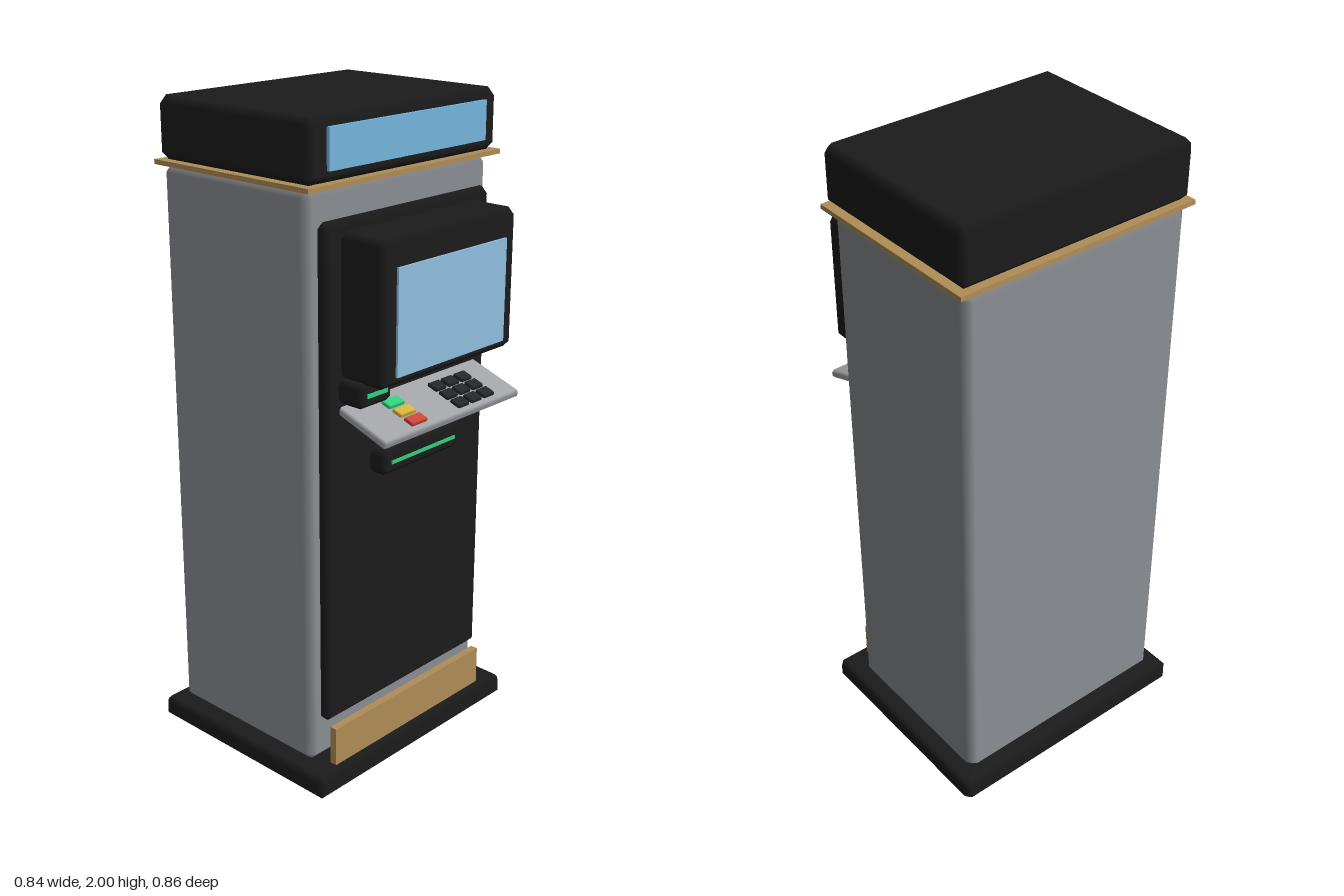
import * as THREE from 'three';
import { ConvexGeometry } from 'three/addons/geometries/ConvexGeometry.js';

const mat = (color) => new THREE.MeshStandardMaterial({ color });
const black = mat(0x1b1b1c), grey = mat(0x8a8d92), silver = mat(0xa2a3a8), gold = mat(0xb08d57);
const blue = mat(0x74b6de), screenBlue = mat(0x90bfde), green = mat(0x2fcf7c);
const yellow = mat(0xd9b23a), red = mat(0xd0453a), keyDark = mat(0x252628);

// Box with chamfered edges; the flat faces keep straight normals, the chamfers blend
function chamferBox(w, h, d, b) {
  const half = [w / 2, h / 2, d / 2];
  const points = [];
  for (const sx of [-1, 1]) for (const sy of [-1, 1]) for (const sz of [-1, 1]) {
    for (let axis = 0; axis < 3; axis++) {
      const p = [sx, sy, sz].map((s, i) => s * (half[i] - (i === axis ? 0 : b)));
      points.push(new THREE.Vector3(...p));
    }
  }
  const geo = new ConvexGeometry(points);
  const pos = geo.attributes.position, nor = geo.attributes.normal;
  for (let i = 0; i < pos.count; i++) {
    const p = [pos.getX(i), pos.getY(i), pos.getZ(i)];
    const n = p.map((v, k) => (Math.abs(Math.abs(v) - half[k]) < 1e-5 ? Math.sign(v) : 0));
    nor.setXYZ(i, ...n);
  }
  return geo;
}

// Adds a box spanning the given ranges, chamfered when bevel > 0
function addBox(parent, name, material, [x0, x1], [y0, y1], [z0, z1], bevel = 0) {
  const size = [x1 - x0, y1 - y0, z1 - z0];
  const geo = bevel > 0 ? chamferBox(...size, bevel) : new THREE.BoxGeometry(...size);
  const mesh = new THREE.Mesh(geo, material);
  mesh.name = name;
  mesh.position.set((x0 + x1) / 2, (y0 + y1) / 2, (z0 + z1) / 2);
  parent.add(mesh);
  return mesh;
}

export function createModel() {
  const model = new THREE.Group();
  model.name = 'cashMachine';

  // Cabinet
  addBox(model, 'base', black, [-0.42, 0.295], [0, 0.072], [-0.43, 0.43], 0.018);
  addBox(model, 'cabinet', grey, [-0.375, 0.205], [0.07, 1.81], [-0.383, 0.383], 0.026);
  addBox(model, 'topTrim', gold, [-0.38, 0.232], [1.806, 1.82], [-0.4, 0.4]);
  addBox(model, 'topBox', black, [-0.375, 0.226], [1.82, 2], [-0.393, 0.393], 0.023);
  addBox(model, 'topSign', blue, [0.215, 0.236], [1.855, 1.97], [-0.325, 0.325]);
  addBox(model, 'frontPanel', black, [0.195, 0.243], [0.21, 1.72], [-0.35, 0.35], 0.02);
  addBox(model, 'kickPlate', gold, [0.238, 0.262], [0.07, 0.195], [-0.335, 0.335]);

  // Screen housing
  addBox(model, 'screenHousing', black, [0.22, 0.39], [1.275, 1.69], [-0.288, 0.288], 0.02);
  addBox(model, 'screen', screenBlue, [0.38, 0.397], [1.305, 1.61], [-0.232, 0.232]);

  // Card reader and cash slot
  addBox(model, 'cardReader', black, [0.22, 0.325], [1.208, 1.28], [0.165, 0.3], 0.016);
  addBox(model, 'cardLight', green, [0.315, 0.329], [1.24, 1.252], [0.193, 0.275]);
  addBox(model, 'cashSlot', black, [0.22, 0.297], [0.965, 1.042], [-0.17, 0.17], 0.018);
  addBox(model, 'cashLight', green, [0.29, 0.301], [1, 1.01], [-0.14, 0.14]);

  // Sloping shelf with its keys
  const shelf = new THREE.Group();
  shelf.name = 'keyShelf';
  shelf.position.set(0.319, 1.16, 0);
  shelf.rotation.z = -0.33;
  model.add(shelf);
  addBox(shelf, 'shelfPlate', silver, [-0.1, 0.1], [-0.013, 0.013], [-0.298, 0.298], 0.008);
  [green, yellow, red].forEach((colour, row) => {
    const x = -0.03 + row * 0.045;
    addBox(shelf, 'actionKey', colour, [x - 0.018, x + 0.018], [0.01, 0.024], [0.102, 0.168], 0.004);
    for (let col = 0; col < 3; col++) {
      const z = -0.058 - col * 0.058;
      addBox(shelf, 'numberKey', keyDark, [x - 0.019, x + 0.019], [0.01, 0.024], [z - 0.024, z + 0.024], 0.004);
    }
  });

  return model;
}
